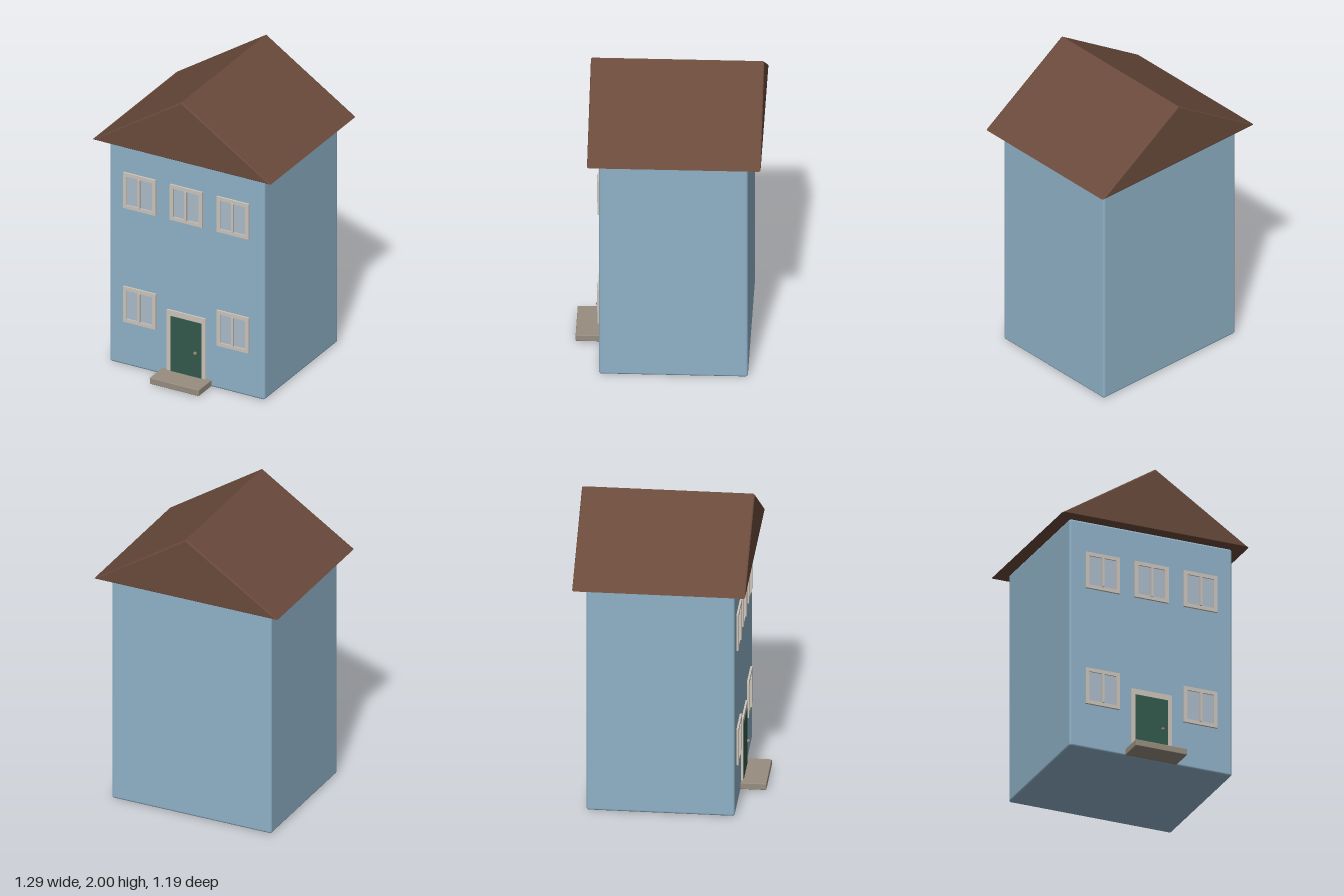
import * as THREE from 'three';
import { RoundedBoxGeometry } from 'three/addons/geometries/RoundedBoxGeometry.js';

const material = (name, color) => {
  const m = new THREE.MeshStandardMaterial({ color });
  m.name = name;
  return m;
};

export function createModel() {
  const house = new THREE.Group();
  house.name = 'house';

  const wallBlue = material('wallBlue', 0x8fb2c8);
  const roofBrown = material('roofBrown', 0x6a4a3b);
  const trimCream = material('trimCream', 0xcdc4ba);
  const glassGrey = material('glassGrey', 0xabbcc9);
  const doorGreen = material('doorGreen', 0x33594d);
  const stoneTaupe = material('stoneTaupe', 0x978d7f);
  const knobMetal = material('knobMetal', 0x8d8374);

  const WALL_Z = 0.43; // front face of the walls

  const add = (parent, name, geometry, mat, x = 0, y = 0, z = 0) => {
    const mesh = new THREE.Mesh(geometry, mat);
    mesh.name = name;
    mesh.position.set(x, y, z);
    parent.add(mesh);
    return mesh;
  };

  // Closed rectangle running from (x0, y0) to (x1, y1)
  const rectangle = (Type, x0, y0, x1, y1) => new Type([
    new THREE.Vector2(x0, y0), new THREE.Vector2(x1, y0),
    new THREE.Vector2(x1, y1), new THREE.Vector2(x0, y1),
  ]);

  // Walls with softly rounded edges
  add(house, 'walls', new RoundedBoxGeometry(1.124, 1.58, 0.94, 3, 0.016), wallBlue, 0, 0.79, -0.04);

  // Solid gable roof, ridge running front to back, edges slightly eased
  const gable = new THREE.Shape([
    new THREE.Vector2(-0.645, 1.577), new THREE.Vector2(0.645, 1.577), new THREE.Vector2(0, 2),
  ]);
  const ease = 0.012;
  add(house, 'roof', new THREE.ExtrudeGeometry(gable, {
    depth: 1.096 - 2 * ease, bevelEnabled: true, bevelSize: ease,
    bevelThickness: ease, bevelOffset: -ease, bevelSegments: 3,
  }), roofBrown, 0, 0, -0.593 + ease);

  // Window: outer frame, pane, sash rails and a proud central mullion
  const addWindow = (name, x, y) => {
    const group = new THREE.Group();
    group.name = name;
    group.position.set(x, y, WALL_Z);
    const w = 0.117, h = 0.125, t = 0.025;
    const outline = rectangle(THREE.Shape, -w, -h, w, h);
    outline.holes.push(rectangle(THREE.Path, -w + t, -h + t, w - t, h - t));
    add(group, 'windowFrame', new THREE.ExtrudeGeometry(outline, { depth: 0.013, bevelEnabled: false }), trimCream);
    add(group, 'windowPane', new THREE.BoxGeometry(2 * (w - t), 2 * (h - t), 0.005), glassGrey, 0, 0, 0.0025);
    add(group, 'mullion', new THREE.BoxGeometry(0.014, 2 * (h - t) + 0.004, 0.022), trimCream, 0, 0, 0.011);
    house.add(group);
  };
  for (const x of [-0.338, 0, 0.338]) addWindow('upperWindow', x, 1.24);
  for (const x of [-0.338, 0.338]) addWindow('lowerWindow', x, 0.435);

  // Door with its surround and knob
  const surround = rectangle(THREE.Shape, -0.14, 0.04, 0.14, 0.475);
  surround.holes.push(rectangle(THREE.Path, -0.113, 0.045, 0.113, 0.437));
  add(house, 'doorFrame', new THREE.ExtrudeGeometry(surround, { depth: 0.012, bevelEnabled: false }), trimCream, 0, 0, WALL_Z);
  add(house, 'door', new RoundedBoxGeometry(0.226, 0.392, 0.022, 2, 0.004), doorGreen, 0, 0.241, WALL_Z + 0.004);
  add(house, 'doorKnob', new THREE.SphereGeometry(0.012, 16, 12), knobMetal, 0.073, 0.222, WALL_Z + 0.025);

  // Doorstep
  add(house, 'doorstep', new RoundedBoxGeometry(0.356, 0.044, 0.168, 2, 0.005), stoneTaupe, 0, 0.027, 0.509);

  return house;
}
